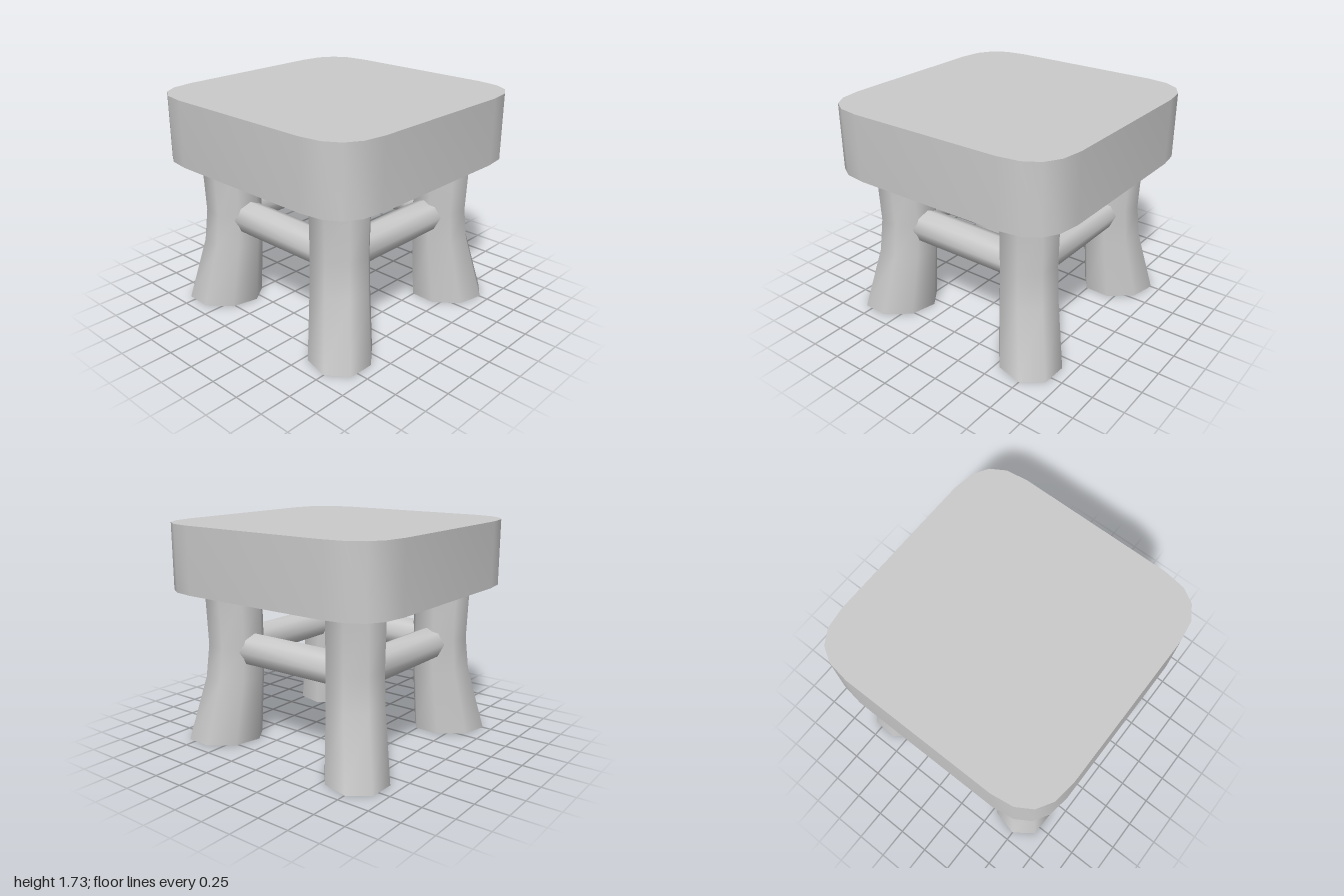
import * as THREE from 'three';
import { toCreasedNormals } from 'three/addons/utils/BufferGeometryUtils.js';

const material = new THREE.MeshStandardMaterial({ color: 0xcccccc });

// Thick seat slab with rounded corners
function seatGeometry() {
  const corner = [[1, 0.62], [0.975, 0.79], [0.905, 0.905], [0.79, 0.975], [0.62, 1]];
  const points = [];
  for (let i = 0; i < 4; i++) {
    for (const [x, y] of corner) {
      points.push(new THREE.Vector2(x, y).rotateAround(new THREE.Vector2(), i * Math.PI / 2));
    }
  }
  const geometry = new THREE.ExtrudeGeometry(new THREE.Shape(points), { depth: 0.515, bevelEnabled: false });
  geometry.rotateX(-Math.PI / 2).translate(0, 1.21, 0);
  return toCreasedNormals(geometry, 1);
}

// Eight-sided leg that flares outward along the diagonal at the foot
function legGeometry() {
  // height, centre offset on x and z, radius along and across the diagonal
  const rings = [
    [0, 0.655, 0.3, 0.245],
    [0.52, 0.592, 0.234, 0.225],
    [0.78, 0.58, 0.22, 0.22],
    [1.215, 0.587, 0.226, 0.226],
  ];
  const geometry = new THREE.CylinderGeometry(1, 1, 3, 8, 3);
  geometry.rotateY(THREE.MathUtils.degToRad(15));
  const pos = geometry.attributes.position;
  for (let i = 0; i < pos.count; i++) {
    const [y, centre, along, across] = rings[Math.round(pos.getY(i) + 1.5)];
    const u = pos.getX(i) * along * Math.SQRT1_2;
    const v = pos.getZ(i) * across * Math.SQRT1_2;
    pos.setXYZ(i, centre + u - v, y, centre + u + v);
  }
  return toCreasedNormals(geometry, 1);
}

// Round rung running between two leg centres
function rungGeometry() {
  const geometry = new THREE.CylinderGeometry(0.132, 0.132, 1.14, 8);
  geometry.rotateZ(Math.PI / 2).translate(0, 0.747, 0.583);
  return toCreasedNormals(geometry, 1);
}

export function createModel() {
  const stool = new THREE.Group();
  stool.name = 'stool';
  const add = (geometry, name, turn = 0) => {
    const mesh = new THREE.Mesh(geometry, material);
    mesh.name = name;
    mesh.rotation.y = turn;
    stool.add(mesh);
  };

  add(seatGeometry(), 'seat');

  // Four legs and four rungs, each a quarter turn apart
  const leg = legGeometry();
  const rung = rungGeometry();
  const legNames = ['frontLeftLeg', 'backLeftLeg', 'backRightLeg', 'frontRightLeg'];
  const rungNames = ['frontRung', 'leftRung', 'backRung', 'rightRung'];
  for (let i = 0; i < 4; i++) {
    add(leg, legNames[i], i * Math.PI / 2);
    add(rung, rungNames[i], i * Math.PI / 2);
  }
  return stool;
}
